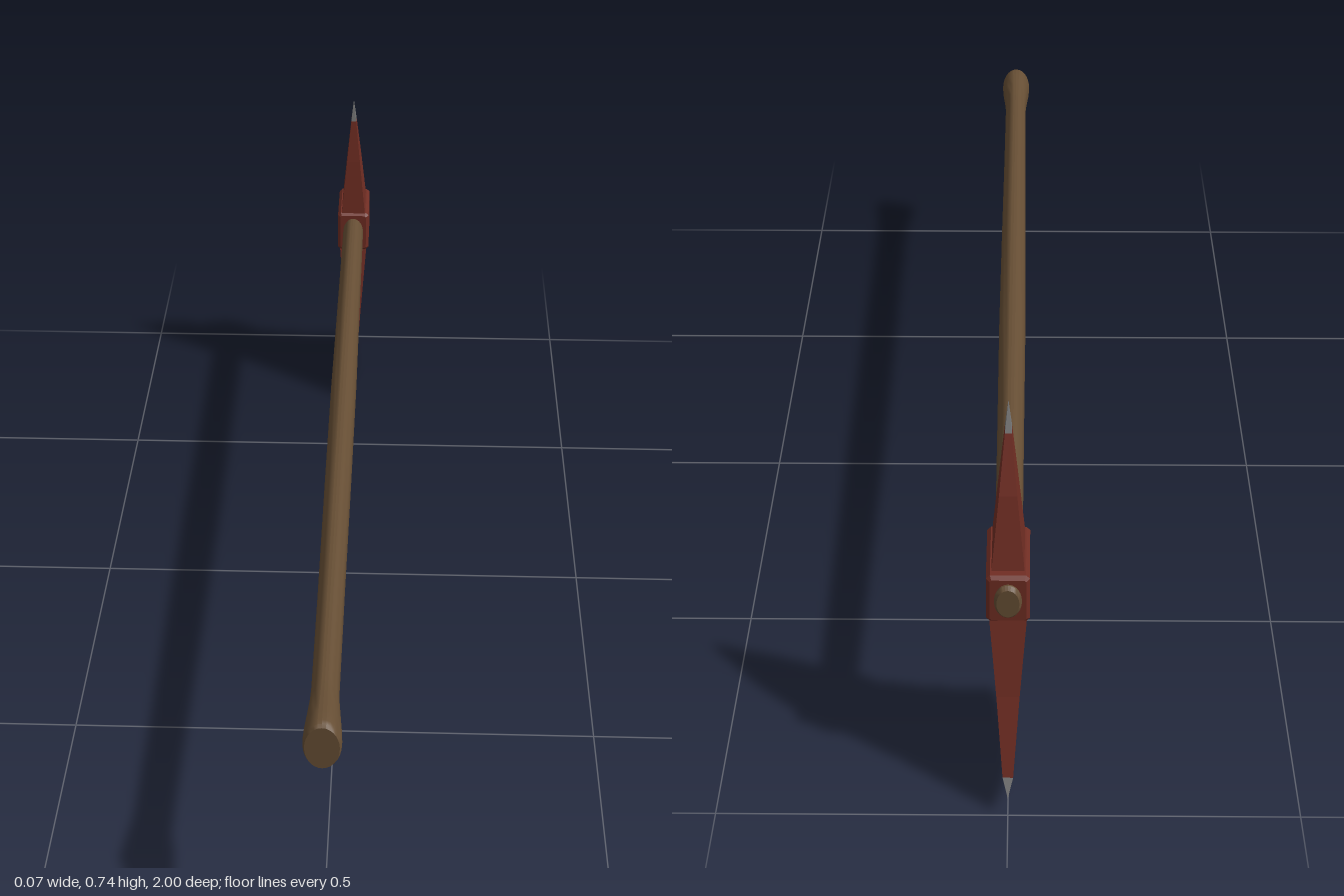
import * as THREE from 'three';
import { toCreasedNormals } from 'three/addons/utils/BufferGeometryUtils.js';

const AXIS_Y = 0.4125; // height of the handle's centre line

// Skins stations listed from low to high. Each is a thin rectangle between zFront and
// zBack with half width hx; sag bows it downwards and thin narrows it in the middle.
function loft(stations, steps) {
  const rings = stations.map(({ y, zFront, zBack, hx, sag = 0, thin = 0 }) => {
    const side = (sign) => Array.from({ length: steps + 1 }, (_, i) => {
      const t = (i / steps) * 2 - 1;
      const bow = 1 - t * t;
      return [sign * (hx - thin * bow), y - sag * bow, THREE.MathUtils.lerp(zFront, zBack, i / steps)];
    });
    return [...side(1), ...side(-1).reverse()];
  });
  const pos = [];
  for (let r = 0; r < rings.length - 1; r++) {
    const lo = rings[r], hi = rings[r + 1], n = lo.length;
    for (let k = 0; k < n; k++) {
      const m = (k + 1) % n;
      pos.push(...lo[k], ...lo[m], ...hi[m], ...lo[k], ...hi[m], ...hi[k]);
    }
  }
  const geo = new THREE.BufferGeometry();
  geo.setAttribute('position', new THREE.Float32BufferAttribute(pos, 3));
  geo.computeVertexNormals();
  return geo;
}

// Box with all edges chamfered, centred on the origin
function chamferedBox(w, h, d, c) {
  const x = w / 2 - c, y = h / 2 - c, k = c * 0.5;
  const shape = new THREE.Shape([
    [x, -y + k], [x, y - k], [x - k, y], [-x + k, y],
    [-x, y - k], [-x, -y + k], [-x + k, -y], [x - k, -y],
  ].map(([a, b]) => new THREE.Vector2(a, b)));
  return new THREE.ExtrudeGeometry(shape, {
    depth: d - 2 * c, bevelEnabled: true, bevelThickness: c, bevelSize: c, bevelSegments: 1,
  }).translate(0, 0, -d / 2 + c);
}

export function createModel() {
  const make = (name, color) => {
    const m = new THREE.MeshStandardMaterial({ color });
    m.name = name;
    return m;
  };
  const wood = make('wood', 0x664e34);
  const red = make('red paint', 0x702d23);
  const steel = make('bare steel', 0x787878);

  const axe = new THREE.Group();
  axe.name = 'axe';
  const add = (name, geo, mat) => {
    const mesh = new THREE.Mesh(geo, mat);
    mesh.name = name;
    axe.add(mesh);
    return mesh;
  };

  // Oval handle with a slight swell and a flared butt: [radius, z]
  const profile = [
    [0, -0.932], [0.028, -0.932], [0.034, -0.926], [0.035, -0.78], [0.037, -0.4], [0.039, -0.1],
    [0.038, 0.25], [0.036, 0.6], [0.0355, 0.86], [0.037, 0.89], [0.042, 0.93], [0.046, 0.96],
    [0.048, 0.985], [0.047, 0.994], [0.043, 1], [0, 1],
  ].map(([r, z]) => new THREE.Vector2(r, z));
  const handle = new THREE.LatheGeometry(profile, 28).rotateX(Math.PI / 2).scale(0.67, 1, 1);
  add('handle', toCreasedNormals(handle, 0.6), wood).position.y = AXIS_Y;

  // Socket around the handle
  add('socket', chamferedBox(0.072, 0.096, 0.138, 0.006), red).position.set(0, AXIS_Y, -0.854);

  // Flaring blade with a curved, ground edge
  const bevelTop = { y: 0.072, zFront: -0.713, zBack: -0.983, hx: 0.009, sag: 0.032, thin: 0.003 };
  add('blade', loft([
    bevelTop,
    { y: 0.22, zFront: -0.757, zBack: -0.944, hx: 0.0195 },
    { y: 0.365, zFront: -0.79, zBack: -0.915, hx: 0.031 },
    { y: 0.4, zFront: -0.79, zBack: -0.915, hx: 0.031 },
  ], 12), red);
  add('bladeEdge', loft([
    { y: 0.037, zFront: -0.703, zBack: -0.997, hx: 0, sag: 0.037 },
    bevelTop,
  ], 12), steel);

  // Pick spike with a bare point
  const pointBase = { y: 0.685, zFront: -0.808, zBack: -0.836, hx: 0.0055 };
  add('pick', loft([
    { y: 0.42, zFront: -0.789, zBack: -0.91, hx: 0.029 },
    { y: 0.46, zFront: -0.79, zBack: -0.906, hx: 0.027 },
    { y: 0.588, zFront: -0.798, zBack: -0.874, hx: 0.0148 },
    pointBase,
  ], 1), red);
  add('pickPoint', loft([
    pointBase,
    { y: 0.736, zFront: -0.814, zBack: -0.816, hx: 0 },
  ], 1), steel);

  return axe;
}
